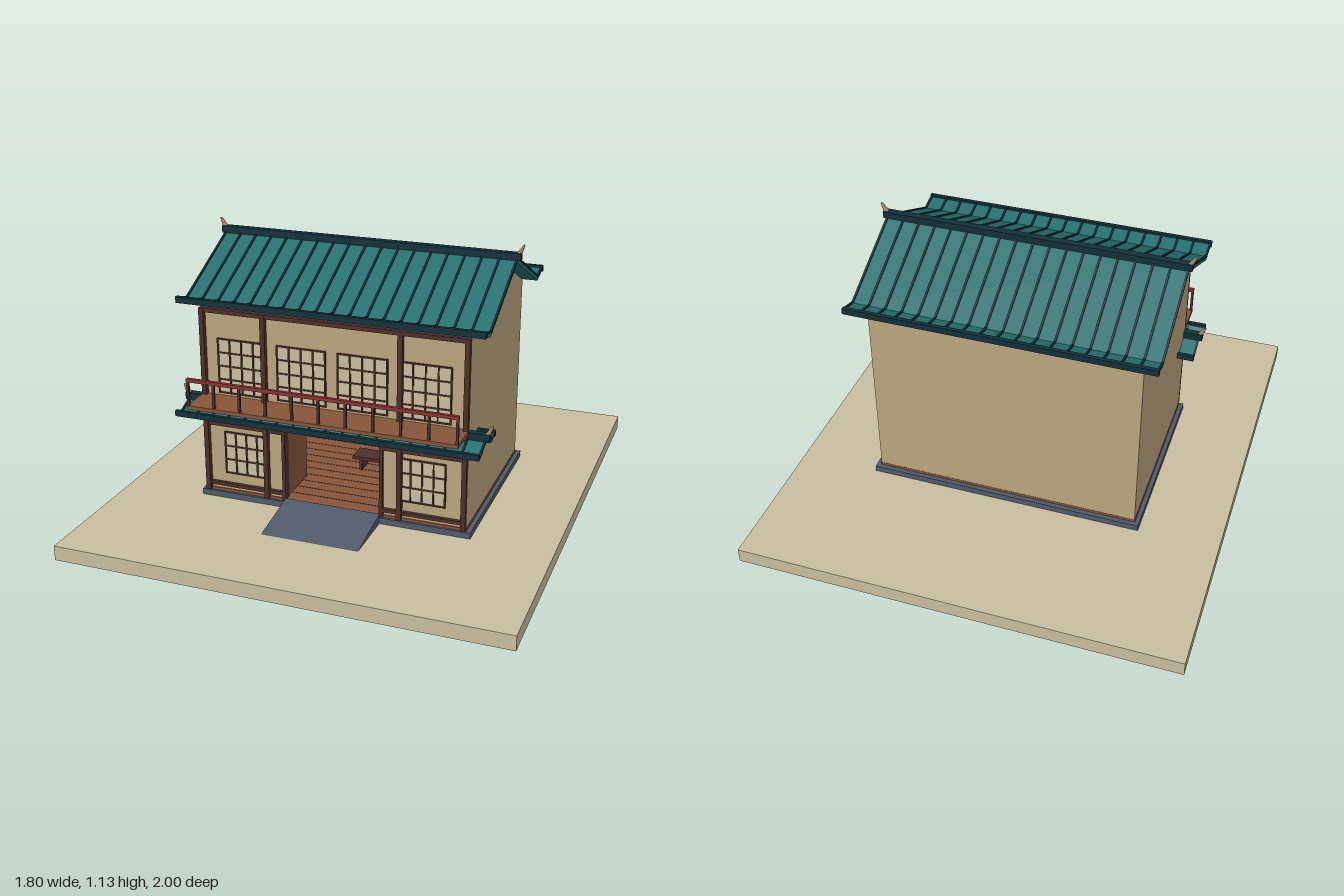
import * as THREE from 'three';

const mat = (name, color, side = THREE.FrontSide) => {
  const m = new THREE.MeshStandardMaterial({ color, side });
  m.name = name;
  return m;
};

export function createModel() {
  const M = {
    sand: mat('sand', 0xc9be9f),
    plaster: mat('plaster', 0xbaa67e),
    slate: mat('slate', 0x505a6a),
    timber: mat('dark timber', 0x4d2f29),
    planks: mat('planks', 0x87553a),
    rail: mat('red lacquer', 0x8c3232),
    tile: mat('teal tile', 0x246e6f),
    trim: mat('dark tile trim', 0x12303a),
    horn: mat('horn', 0x9c8a66),
  };
  const model = new THREE.Group();
  model.name = 'balconyHouse';

  const add = (name, geo, material, parent = model) => {
    const mesh = new THREE.Mesh(geo, material);
    mesh.name = name;
    parent.add(mesh);
    return mesh;
  };
  // box given by its extents on each axis
  const box = (name, material, [x0, x1], [y0, y1], [z0, z1], parent = model) => {
    const mesh = add(name, new THREE.BoxGeometry(x1 - x0, y1 - y0, z1 - z0), material, parent);
    mesh.position.set((x0 + x1) / 2, (y0 + y1) / 2, (z0 + z1) / 2);
    return mesh;
  };
  // outline in (z, y) extruded along x, centred on x
  const alongX = (points, width) => {
    const shape = new THREE.Shape(points.map(([z, y]) => new THREE.Vector2(z, y)));
    return new THREE.ExtrudeGeometry(shape, { depth: width, bevelEnabled: false })
      .translate(0, 0, -width / 2).rotateY(-Math.PI / 2);
  };

  // ground, plinth, ramp, floors
  box('ground', M.sand, [-0.9, 0.9], [0, 0.06], [-1, 1]);
  box('plinth', M.slate, [-0.57, 0.57], [0.06, 0.085], [-0.405, 0.405]);
  add('ramp', alongX([[0.4, 0.06], [0.645, 0.06], [0.4, 0.1]], 0.4), M.slate);
  box('groundFloor', M.planks, [-0.552, 0.552], [0.085, 0.096], [-0.386, 0.395]);
  for (let i = 0; i < 12; i++) {
    const z = -0.33 + i * 0.06;
    box('floorSeam', M.timber, [-0.52, 0.52], [0.096, 0.097], [z, z + 0.003]);
  }
  box('upperFloor', M.plaster, [-0.53, 0.53], [0.46, 0.48], [-0.365, 0.375]);

  // walls: two gables, back, and a front with the door opening
  const gable = [[-0.385, 0.09], [0.39, 0.09], [0.39, 0.885], [0, 1.06], [-0.385, 0.885]];
  for (const s of [-1, 1]) add('gableWall', alongX(gable, 0.02), M.plaster).position.x = s * 0.54;
  box('backWall', M.plaster, [-0.54, 0.54], [0.09, 0.885], [-0.385, -0.365]);
  for (const s of [-1, 1]) {
    const x = [0.2 * s, 0.54 * s].sort((a, b) => a - b);
    box('frontWallLower', M.plaster, x, [0.09, 0.43], [0.37, 0.39]);
  }
  box('frontWallUpper', M.plaster, [-0.54, 0.54], [0.43, 0.885], [0.37, 0.39]);

  // timber frame and inward-opened door leaves
  const frame = new THREE.Group();
  frame.name = 'timberFrame';
  model.add(frame);
  const span = (a, b, s) => (s > 0 ? [a, b] : [-b, -a]);
  for (const s of [-1, 1]) {
    box('cornerColumn', M.timber, span(0.53, 0.55, s), [0.09, 0.87], [0.388, 0.41], frame);
    box('innerColumn', M.timber, span(0.27, 0.29, s), [0.09, 0.87], [0.388, 0.41], frame);
    box('doorPost', M.timber, span(0.198, 0.212, s), [0.09, 0.43], [0.368, 0.405], frame);
    box('lintel', M.timber, span(0.2, 0.55, s), [0.377, 0.392], [0.388, 0.405], frame);
    box('sill', M.timber, span(0.2, 0.55, s), [0.112, 0.127], [0.388, 0.405], frame);
    box('doorLeaf', M.planks, span(0.2, 0.21, s), [0.1, 0.43], [0.18, 0.37]);
  }
  box('topBeam', M.timber, [-0.55, 0.55], [0.853, 0.87], [0.388, 0.407], frame);

  // lattice windows
  const latticeWindow = (x, y, w, h, cols, rows) => {
    const g = new THREE.Group();
    g.name = 'latticeWindow';
    g.position.set(x, y, 0.39);
    model.add(g);
    box('pane', M.sand, [-w / 2, w / 2], [-h / 2, h / 2], [0, 0.003], g);
    const t = 0.003;
    for (let i = 0; i <= cols; i++) {
      const u = -w / 2 + (w * i) / cols;
      box('upright', M.timber, [u - t, u + t], [-h / 2 - t, h / 2 + t], [0, 0.008], g);
    }
    for (let j = 0; j <= rows; j++) {
      const v = -h / 2 + (h * j) / rows;
      box('crossbar', M.timber, [-w / 2, w / 2], [v - t, v + t], [0, 0.007], g);
    }
  };
  for (const x of [-0.378, -0.126, 0.126, 0.378]) latticeWindow(x, 0.633, 0.2, 0.224, 4, 4);
  for (const x of [-0.37, 0.37]) latticeWindow(x, 0.26, 0.185, 0.178, 4, 3);

  // balcony
  box('balconyDeck', M.planks, [-0.55, 0.55], [0.492, 0.508], [0.39, 0.54]);
  box('balconyRail', M.rail, [-0.55, 0.55], [0.606, 0.62], [0.525, 0.539]);
  for (let i = 0; i <= 10; i++) {
    const x = -0.545 + i * 0.109;
    box('baluster', M.timber, [x - 0.005, x + 0.005], [0.505, 0.61], [0.527, 0.537]);
  }

  // bench inside the doorway
  const bench = new THREE.Group();
  bench.name = 'bench';
  model.add(bench);
  box('benchSeat', M.timber, [-0.045, 0.2], [0.146, 0.16], [-0.04, 0.05], bench);
  for (const x of [-0.012, 0.165])
    box('benchLeg', M.timber, [x - 0.006, x + 0.006], [0.095, 0.147], [-0.03, 0.04], bench);

  // gabled roof with upturned eaves; profile follows ridge, eave, tip
  const makeRoof = (name, z, ridgeY, eave, tip, thick) => {
    const g = new THREE.Group();
    g.name = name;
    g.position.set(0, ridgeY, z);
    model.add(g);
    const band = (lo, hi) => {
      const half = [[0, 0], eave, tip];
      const line = [...half.slice(1).reverse().map(([a, b]) => [-a, b]), ...half];
      return [...line.map(([a, b]) => [a, b + lo]), ...line.reverse().map(([a, b]) => [a, b + hi])];
    };
    add('roofTiles', alongX(band(-thick, 0), 1.23), M.tile, g);
    for (let i = 0; i <= 18; i++) {
      const rib = add('roofRib', alongX(band(-0.002, 0.006), 0.008), M.trim, g);
      rib.position.x = -0.614 + (i * 1.228) / 18;
    }
    box('ridgeBar', M.trim, [-0.63, 0.63], [-0.006, 0.022], [-0.015, 0.015], g);
    for (const s of [-1, 1]) {
      const [a, b] = tip;
      box('eaveBar', M.trim, [-0.62, 0.62], [b - thick, b + 0.007], [s * a - 0.008, s * a + 0.008], g);
      const horn = add('ridgeHorn', new THREE.CylinderGeometry(0.004, 0.013, 0.05, 6), M.horn, g);
      horn.position.set(s * 0.628, 0.032, 0);
      horn.rotation.z = -s * 0.5;
    }
  };
  makeRoof('mainRoof', 0, 1.073, [0.376, -0.178], [0.452, -0.158], 0.018);
  makeRoof('skirtRoof', 0.385, 0.478, [0.09, -0.036], [0.118, -0.02], 0.016);

  return model;
}
